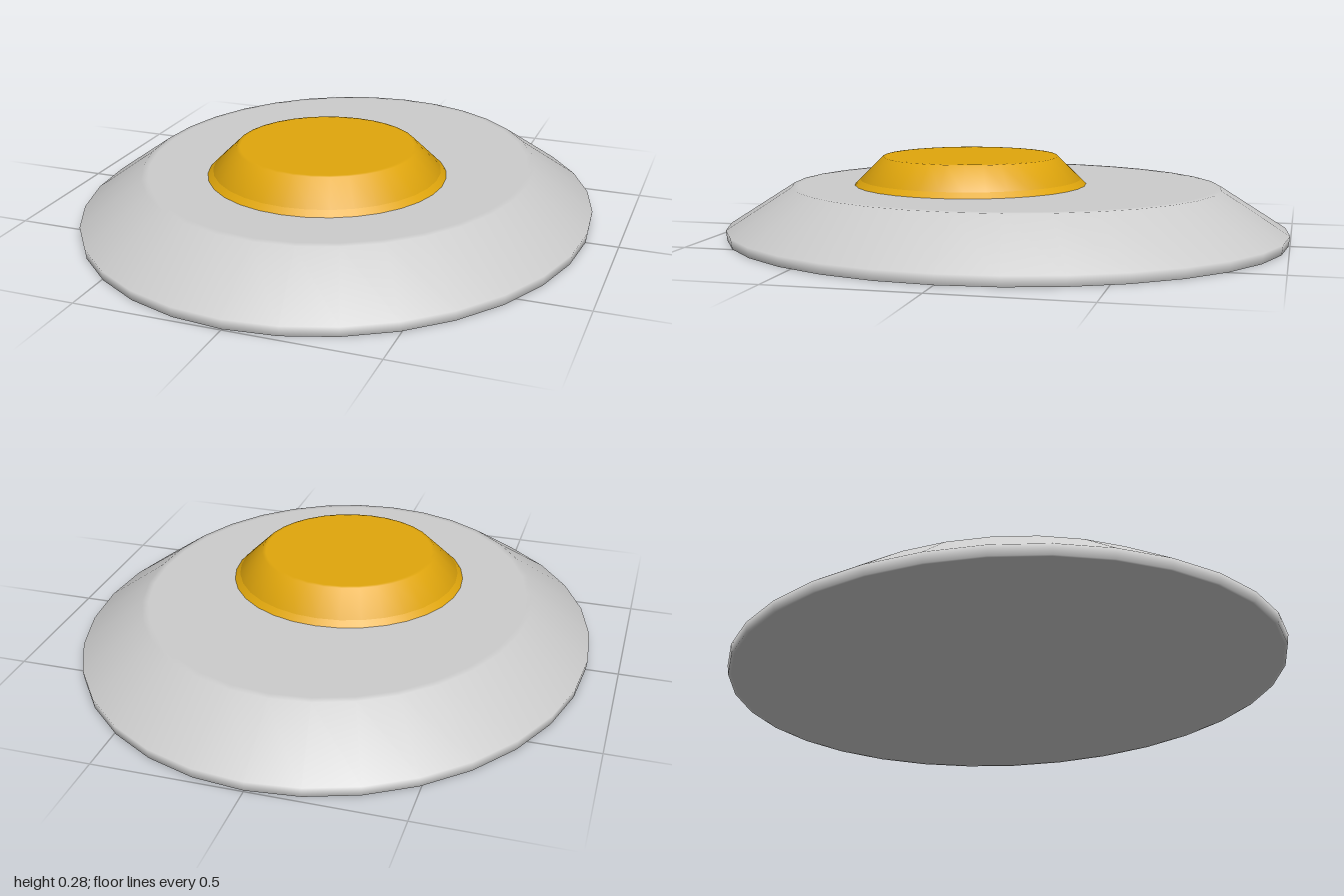
import * as THREE from 'three';

const SIDES = 32;

// Revolve a bottom-to-top profile of [radius, height] pairs.
function lathe(name, profile, material) {
  const points = profile.map(([r, y]) => new THREE.Vector2(r, y));
  const mesh = new THREE.Mesh(new THREE.LatheGeometry(points, SIDES), material);
  mesh.name = name;
  return mesh;
}

export function createModel() {
  const model = new THREE.Group();
  model.name = 'friedEgg';

  const whiteMaterial = new THREE.MeshStandardMaterial({ color: 0xcccccc });
  const yolkMaterial = new THREE.MeshStandardMaterial({ color: 0xe0a60c });

  // Egg white: oval slab with a thin rim and a sloping shoulder
  const white = lathe('eggWhite', [
    [0, 0], [0.985, 0], [0.995, 0], [1, 0.035], [0.765, 0.184], [0.74, 0.185], [0, 0.185],
  ], whiteMaterial);
  white.geometry.scale(0.893, 1, 1);
  model.add(white);

  // Yolk: low dome set towards the front, with a narrow skirt where it meets the white
  const yolk = new THREE.Group();
  yolk.name = 'yolk';
  yolk.position.z = 0.127;
  yolk.add(
    lathe('yolkDome', [
      [0.37, 0.17], [0.395, 0.204], [0.313, 0.284], [0.3, 0.285], [0, 0.285],
    ], yolkMaterial),
    lathe('yolkSkirt', [[0.415, 0.184], [0.395, 0.204]], yolkMaterial),
  );
  model.add(yolk);

  return model;
}
